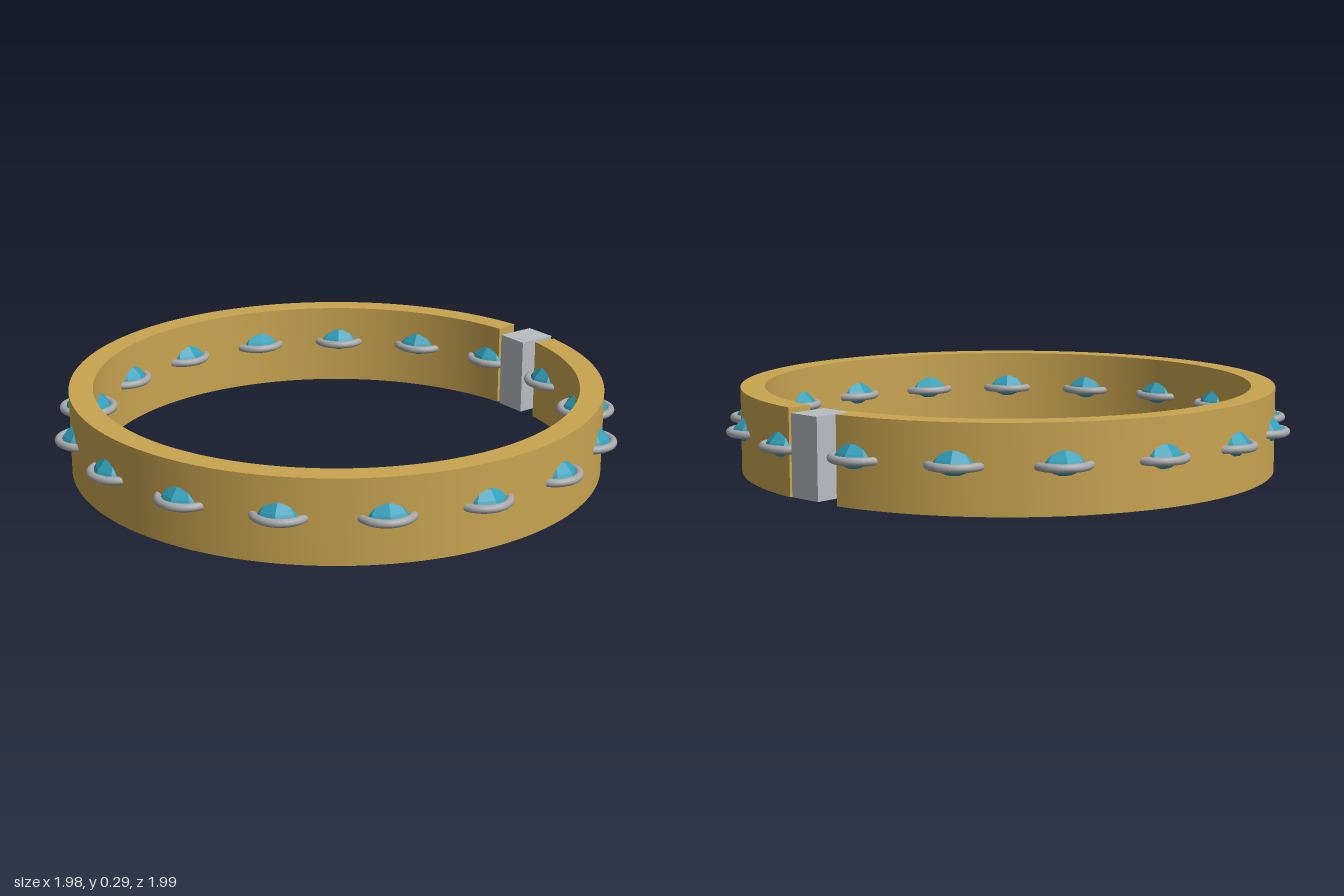
import * as THREE from 'three';
import { toCreasedNormals } from 'three/addons/utils/BufferGeometryUtils.js';

const CENTER_X = 0.0075;
const GEM_COUNT = 17;
const GEM_RING = 0.896;

function material(name, color) {
  const m = new THREE.MeshStandardMaterial({ color });
  m.name = name;
  return m;
}

export function createModel() {
  const gold = material('gold', 0xc8a450);
  const silver = material('silver', 0xb8bdc2);
  const steel = material('bezel grey', 0xa6a8aa);
  const teal = material('teal', 0x2f9fba);

  const model = new THREE.Group();
  model.name = 'bracelet';
  const ring = new THREE.Group();
  ring.name = 'ring';
  ring.position.x = CENTER_X;
  model.add(ring);

  function add(parent, name, geometry, mat, x = 0, y = 0, z = 0) {
    const mesh = new THREE.Mesh(geometry, mat);
    mesh.name = name;
    mesh.position.set(x, y, z);
    parent.add(mesh);
    return mesh;
  }

  // Open band: an arc with a gap on +x for the clasp
  const gap = 0.119;
  const arc = new THREE.Shape();
  arc.absarc(0, 0, 0.938, gap, Math.PI * 2 - gap, false);
  arc.absarc(0, 0, 0.854, Math.PI * 2 - gap, gap, true);
  arc.closePath();
  const bandGeometry = new THREE.ExtrudeGeometry(arc, {
    depth: 0.295, bevelEnabled: false, curveSegments: 72,
  });
  bandGeometry.rotateX(-Math.PI / 2);
  add(ring, 'band', toCreasedNormals(bandGeometry, 0.5), gold);

  // Clasp block standing in the gap
  add(model, 'clasp', new THREE.BoxGeometry(0.143, 0.274, 0.122), silver, 0.902, 0.149, 0);

  // Faceted gem: flat table, crown, girdle and shallow pavilion
  const profile = [[0, -0.044], [0.05, -0.034], [0.083, 0], [0.075, 0.014], [0.047, 0.044], [0, 0.044]]
    .map(([r, y]) => new THREE.Vector2(r, y));
  const gemGeometry = toCreasedNormals(new THREE.LatheGeometry(profile, 8), 0.01);
  const bezelGeometry = new THREE.TorusGeometry(0.09, 0.014, 10, 32);
  bezelGeometry.rotateX(Math.PI / 2);

  // Gems lie flat through the band, spaced evenly either side of the clasp
  for (let i = 0; i < GEM_COUNT; i++) {
    const angle = ((i + 0.5) / GEM_COUNT) * Math.PI * 2;
    const setting = new THREE.Group();
    setting.name = 'gemSetting' + (i + 1);
    setting.position.set(Math.cos(angle) * GEM_RING, 0.158, Math.sin(angle) * GEM_RING);
    setting.rotation.y = -angle;
    add(setting, 'gem', gemGeometry, teal, 0, 0.004, 0);
    add(setting, 'bezel', bezelGeometry, steel);
    ring.add(setting);
  }
  return model;
}
